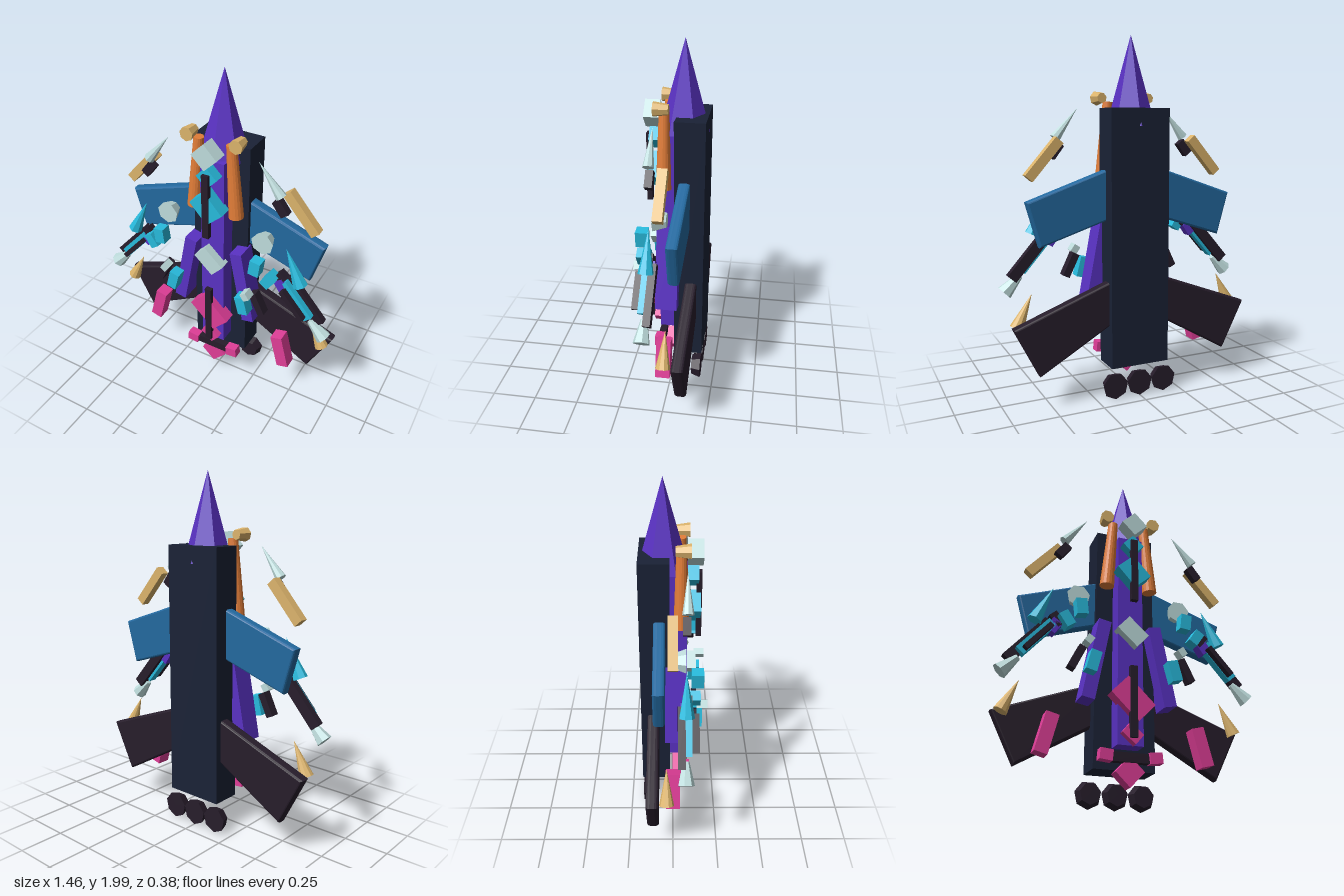
import * as THREE from 'three';

const COLORS = {
  navy: 0x1a2236, purple: 0x5a32c4, blue: 0x23699f, dark: 0x271d2b, orange: 0xe27d38,
  tan: 0xdcb46c, light: 0xbfdddd, cyan: 0x28bbdd, pink: 0xe03e98,
};
const materials = {};
for (const key in COLORS) {
  materials[key] = new THREE.MeshStandardMaterial({ color: COLORS[key], flatShading: true });
}

export function createModel() {
  const model = new THREE.Group();
  model.name = 'spaceship';

  const add = (name, color, geometry, x, y, z, rz = 0) => {
    const mesh = new THREE.Mesh(geometry, materials[color]);
    mesh.name = name;
    mesh.position.set(x, y, z);
    mesh.rotation.z = rz;
    model.add(mesh);
    return mesh;
  };

  // Box given by its centre, front size, turn about z and depth range
  const box = (name, color, x, y, w, h, z0, z1, rz = 0) =>
    add(name, color, new THREE.BoxGeometry(w, h, z1 - z0), x, y, (z0 + z1) / 2, rz);

  // Round part running between two points of a plane of constant z
  const rod = (name, color, x0, y0, r0, x1, y1, r1, z, sides) => {
    const length = Math.hypot(x1 - x0, y1 - y0);
    return add(name, color, new THREE.CylinderGeometry(r1, r0, length, sides),
      (x0 + x1) / 2, (y0 + y1) / 2, z, Math.atan2(x0 - x1, y1 - y0));
  };

  // Round part running from back to front
  const nozzle = (name, color, x, y, z0, z1, rBack, rFront) => {
    const geometry = new THREE.CylinderGeometry(rFront, rBack, z1 - z0, 7);
    geometry.rotateX(Math.PI / 2);
    return add(name, color, geometry, x, y, (z0 + z1) / 2);
  };

  // Flat wing with softened edges
  const wing = (name, color, points, z0, z1) => {
    const shape = new THREE.Shape(points.map(([x, y]) => new THREE.Vector2(x, y)));
    const bevel = 0.02;
    const geometry = new THREE.ExtrudeGeometry(shape, {
      depth: z1 - z0 - 2 * bevel, bevelThickness: bevel, bevelSize: 0.012,
      bevelOffset: -0.012, bevelSegments: 3,
    });
    return add(name, color, geometry, 0, 0, z0 + bevel);
  };

  // Hull, spine and nose
  box('hull', 'navy', 0, 0.9, 0.344, 1.42, -0.18, -0.016);
  box('spine', 'purple', 0, 0.92, 0.145, 1.24, -0.05, 0.08);
  rod('nose', 'purple', 0, 1.515, 0.135, 0, 2, 0, -0.05, 6);

  // Tilted blocks along the spine: colour, y, width, height, z range, turn
  [
    ['light', 1.6, 0.107, 0.107, 0.08, 0.163, 0.78],
    ['cyan', 1.47, 0.088, 0.088, 0.07, 0.14, 0.8],
    ['cyan', 1.288, 0.155, 0.125, 0.07, 0.152, -0.83],
    ['light', 0.923, 0.15, 0.1, 0.06, 0.13, -0.74],
    ['pink', 0.54, 0.21, 0.135, 0.055, 0.13, -0.77],
    ['pink', 0.355, 0.095, 0.07, 0.07, 0.12, -0.7],
    ['pink', 0.167, 0.115, 0.11, 0, 0.075, 0.8],
  ].forEach(([color, y, w, h, z0, z1, rz]) => box('spineBlock', color, 0, y, w, h, z0, z1, rz));

  // Dark strips on the front
  box('upperStrip', 'dark', 0, 1.298, 0.04, 0.39, 0.128, 0.158);
  box('lowerStrip', 'dark', 0, 0.525, 0.04, 0.39, 0.11, 0.138);
  box('tailBar', 'dark', 0, 0.238, 0.22, 0.05, 0.045, 0.085);

  // Engines
  for (const x of [-0.148, 0, 0.148]) nozzle('engine', 'dark', x, 0.085, -0.175, -0.122, 0.075, 0.058);

  for (const s of [1, -1]) {
    const sideBox = (name, color, x, y, w, h, z0, z1, rz = 0) =>
      box(name, color, s * x, y, w, h, z0, z1, s * rz);
    const sideRod = (name, color, x0, y0, r0, x1, y1, r1, z, sides) =>
      rod(name, color, s * x0, y0, r0, s * x1, y1, r1, z, sides);
    const sideWing = (name, color, points, z0, z1) =>
      wing(name, color, points.map(([x, y]) => [s * x, y]), z0, z1);

    // Wings
    sideWing('upperWing', 'blue',
      [[0.14, 1.29], [0.615, 1.125], [0.545, 0.88], [0.14, 1.01]], -0.102, -0.04);
    sideWing('lowerWing', 'dark',
      [[0.1, 0.695], [0.707, 0.468], [0.567, 0.192], [0.1, 0.46]], -0.144, -0.078);

    // Boosters and top barrels
    sideBox('booster', 'purple', 0.188, 0.762, 0.073, 0.465, -0.045, 0.078, 0.19);
    sideRod('barrel', 'orange', 0.13, 1.222, 0.042, 0.096, 1.645, 0.028, 0.046, 16);
    nozzle('barrelCap', 'tan', s * 0.143, 1.665, 0.015, 0.095, 0.028, 0.04);

    // Upper missile
    sideRod('missileTip', 'light', 0.397, 1.447, 0.03, 0.265, 1.612, 0, 0.075, 8);
    sideBox('missileNeck', 'dark', 0.4, 1.384, 0.05, 0.09, 0.05, 0.09, 0.65);
    sideBox('missileBody', 'tan', 0.489, 1.341, 0.054, 0.265, -0.025, 0.025, 0.715);

    // Wing lamp
    nozzle('wingLamp', 'light', s * 0.3, 1.118, 0, 0.07, 0.04, 0.066);

    // Arm cannon
    sideBox('armShoulder', 'cyan', 0.302, 1.012, 0.062, 0.09, 0.1, 0.165, -0.12);
    sideBox('armElbow', 'cyan', 0.375, 0.937, 0.055, 0.085, 0.07, 0.145, -0.6);
    sideBox('armJoint', 'purple', 0.435, 0.905, 0.06, 0.075, 0.04, 0.1, 0.6);
    sideBox('armBracket', 'dark', 0.42, 0.945, 0.05, 0.08, 0.05, 0.1, -0.7);
    sideRod('armSpike', 'cyan', 0.538, 0.93, 0.042, 0.442, 1.14, 0, 0.07, 7);
    sideBox('cannonRail', 'dark', 0.56, 0.82, 0.06, 0.32, 0.025, 0.065, 0.72);
    sideBox('cannonCore', 'cyan', 0.525, 0.83, 0.055, 0.25, 0.05, 0.1, 0.72);
    sideBox('cannonStrip', 'dark', 0.52, 0.82, 0.028, 0.2, 0.1, 0.138, 0.72);
    sideRod('cannonMuzzle', 'light', 0.7, 0.622, 0.045, 0.612, 0.708, 0.018, 0.067, 7);

    // Small gun beside the booster
    sideBox('gunBase', 'cyan', 0.228, 0.712, 0.06, 0.115, 0.095, 0.162, 0.25);
    sideBox('gunBarrel', 'dark', 0.31, 0.735, 0.042, 0.14, 0.075, 0.13, 0.45);
    sideBox('gunSight', 'light', 0.263, 0.815, 0.04, 0.045, 0.13, 0.19, 0.6);

    // Lower wing fittings
    sideBox('wingPod', 'pink', 0.431, 0.341, 0.072, 0.215, -0.04, 0.04, 0.25);
    sideRod('wingSpike', 'tan', 0.662, 0.448, 0.04, 0.577, 0.627, 0, -0.034, 10);
    sideBox('tailClamp', 'pink', 0.135, 0.242, 0.07, 0.058, 0.045, 0.1, 0.1);
  }
  return model;
}
